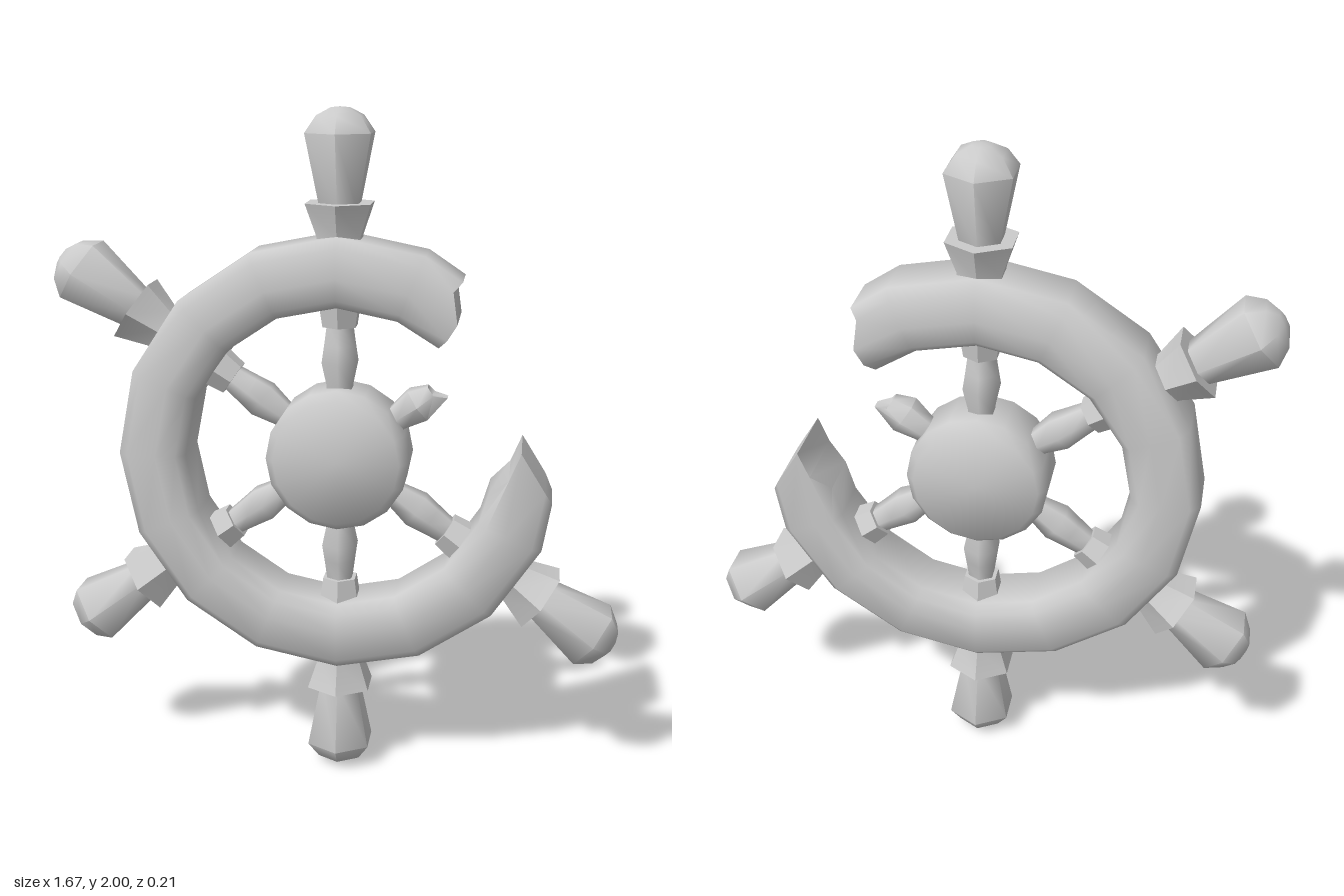
import * as THREE from 'three';
import { toCreasedNormals } from 'three/addons/utils/BufferGeometryUtils.js';

const material = new THREE.MeshStandardMaterial({ color: 0xcccccc });
const SMOOTH = 1.1, CRISP = 0.8;

function part(name, geometry, crease) {
  const mesh = new THREE.Mesh(toCreasedNormals(geometry, crease), material);
  mesh.name = name;
  return mesh;
}

// Turned piece from [radius, height] pairs, bottom to top
function turned(profile, sides) {
  return new THREE.LatheGeometry(profile.map(([r, y]) => new THREE.Vector2(r, y)), sides);
}

// Broken rim: chamfered section swept in 22.5 degree steps, with jagged ends
function rimGeometry() {
  const half = [[0.65, 0.075], [0.62, 0.105], [0.535, 0.105], [0.475, 0.105], [0.45, 0.075]];
  const upperBreak = [[0.354, 0.53], [0.33, 0.508], [0.343, 0.415], [0.315, 0.37], [0.29, 0.343]];
  const lowerBreak = [[0.625, -0.105], [0.605, -0.065], [0.533, 0.05], [0.5, -0.03], [0.443, -0.08]];
  const rows = [upperBreak];
  for (let k = 0; k <= 12; k++) {
    const a = THREE.MathUtils.degToRad(67.5 + k * 22.5);
    rows.push(half.map(([r]) => [r * Math.cos(a), r * Math.sin(a)]));
  }
  rows.push(lowerBreak);

  const positions = [], index = [];
  for (const row of rows) {
    for (let j = 0; j < 10; j++) {
      const i = j < 5 ? j : 9 - j;
      positions.push(row[i][0], row[i][1], j < 5 ? half[i][1] : -half[i][1]);
    }
  }
  for (let s = 0; s < rows.length - 1; s++) {
    for (let j = 0; j < 10; j++) {
      const a = s * 10 + j, b = s * 10 + (j + 1) % 10;
      index.push(a, a + 10, b, a + 10, b + 10, b);
    }
  }
  const last = (rows.length - 1) * 10;
  for (let j = 0; j < 4; j++) {
    const o = j, i = j + 1, O = 9 - j, I = 8 - j;
    index.push(o, i, O, i, I, O);
    index.push(last + o, last + O, last + i, last + i, last + O, last + I);
  }
  const g = new THREE.BufferGeometry();
  g.setAttribute('position', new THREE.Float32BufferAttribute(positions, 3));
  g.setIndex(index);
  return g;
}

// Whole spoke along +y from the hub centre
function spoke() {
  const g = new THREE.Group();
  g.name = 'spoke';
  g.add(
    part('spindle', turned([[0.042, 0.17], [0.042, 0.21], [0.058, 0.28], [0.05, 0.33], [0.04, 0.4]], 6), SMOOTH),
    part('innerCollar', turned([[0, 0.385], [0.055, 0.385], [0.07, 0.48], [0, 0.48]], 6), CRISP),
    part('outerCollar', turned([[0, 0.62], [0.07, 0.62], [0.072, 0.645], [0.107, 0.738], [0, 0.738]], 6), CRISP),
    part('handle', turned([[0.062, 0.72], [0.107, 0.93], [0.072, 0.977], [0.03, 0.997], [0, 1]], 6), SMOOTH)
  );
  return g;
}

// Snapped-off spindle with a slanted, hollow end
function brokenSpoke() {
  const g = turned([[0.042, 0.17], [0.042, 0.21], [0.058, 0.28], [0.034, 0.35], [0, 0.325]], 6);
  const p = g.attributes.position;
  for (let i = 0; i < p.count; i++) {
    if (Math.abs(p.getY(i) - 0.35) < 0.001) {
      p.setY(i, 0.363 + p.getX(i) * 0.5 - Math.abs(p.getZ(i)) * 0.8);
    }
  }
  return part('brokenSpoke', g, SMOOTH);
}

export function createModel() {
  const model = new THREE.Group();
  model.name = 'brokenShipWheel';
  const wheel = new THREE.Group();
  wheel.name = 'wheel';
  wheel.position.y = 1;
  model.add(wheel);

  wheel.add(part('rim', rimGeometry(), 0.9));

  const hub = part('hub', turned(
    [[0, -0.105], [0.185, -0.105], [0.21, -0.075], [0.21, 0.075], [0.185, 0.105], [0, 0.105]], 16), 0.95);
  hub.rotation.x = Math.PI / 2;
  wheel.add(hub);

  for (const angle of [90, 145, 215, 270, 325]) {
    const s = spoke();
    s.rotation.z = THREE.MathUtils.degToRad(angle - 90);
    wheel.add(s);
  }
  const stub = brokenSpoke();
  stub.rotation.z = THREE.MathUtils.degToRad(35 - 90);
  wheel.add(stub);

  return model;
}
